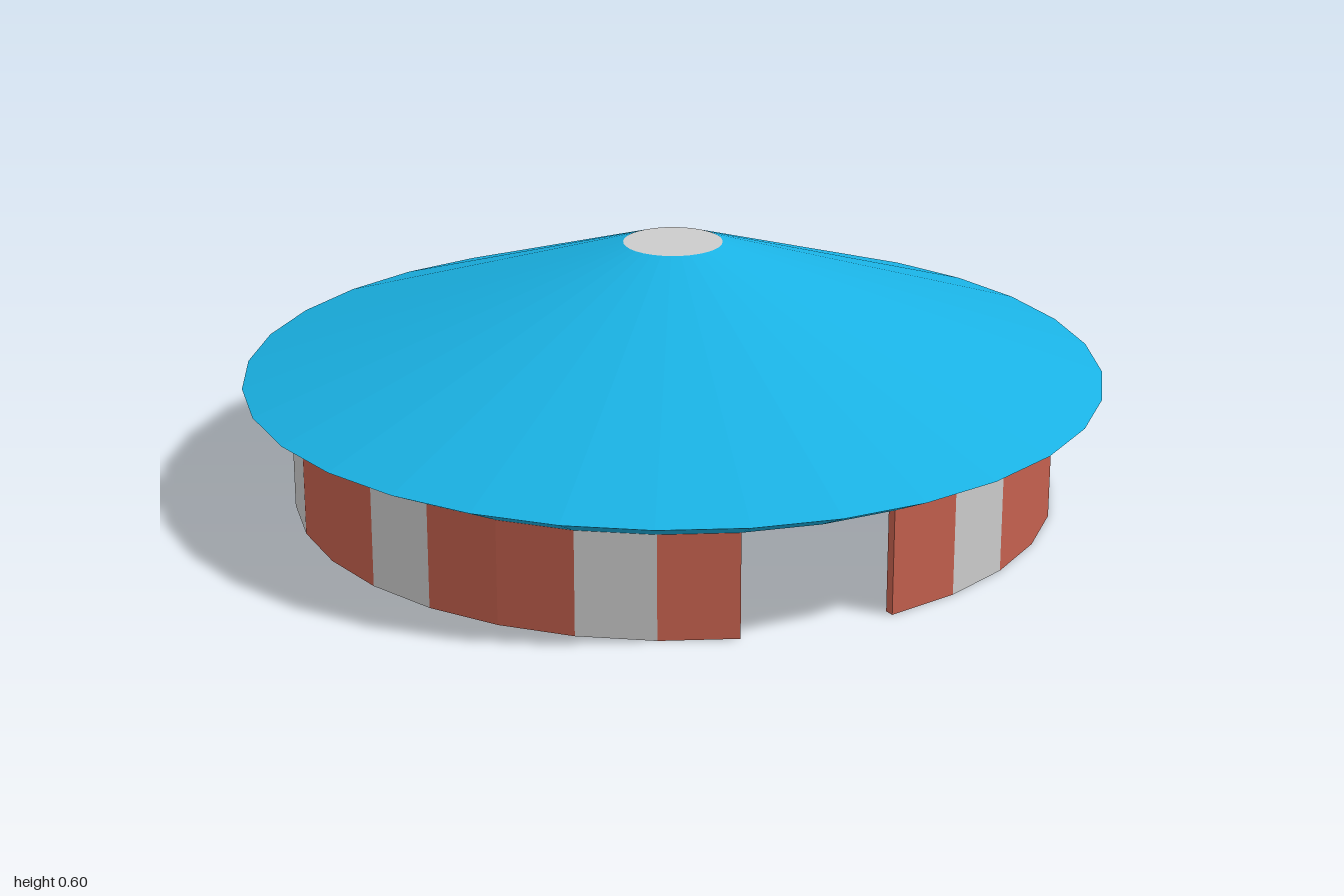
import * as THREE from 'three';

const SIDES = 32;
const STEP = (Math.PI * 2) / SIDES;
const WALL_OUTER = 0.89, WALL_INNER = 0.868, WALL_HEIGHT = 0.24;
const RIM_Y = 0.295, TOP_Y = 0.6, TOP_RADIUS = 0.115;

const material = (color, side = THREE.FrontSide) =>
  new THREE.MeshStandardMaterial({ color, side, flatShading: true });

// Faceted wall section covering ring sides [from, to), counted from the front
function wallSection(from, to) {
  const points = [];
  const add = (r, k) => points.push(new THREE.Vector2(r * Math.sin(k * STEP), -r * Math.cos(k * STEP)));
  for (let k = from; k <= to; k++) add(WALL_OUTER, k);
  for (let k = to; k >= from; k--) add(WALL_INNER, k);
  const geometry = new THREE.ExtrudeGeometry(new THREE.Shape(points), { depth: WALL_HEIGHT, bevelEnabled: false });
  return geometry.rotateX(-Math.PI / 2);
}

export function createModel() {
  const model = new THREE.Group();
  model.name = 'roundPavilion';

  const red = material(0xc4604e);
  const grey = material(0xcccccc);
  const blue = material(0x1ab2e4, THREE.DoubleSide);

  // Wall ring: every third side is a grey panel, the two front sides stay open
  const wall = new THREE.Group();
  wall.name = 'wall';
  for (let k = 1; k < SIDES - 1;) {
    const isGrey = k % 3 === 2;
    let end = k + 1;
    while (!isGrey && end < SIDES - 1 && end % 3 !== 2) end++;
    const panel = new THREE.Mesh(wallSection(k, end), isGrey ? grey : red);
    panel.name = isGrey ? 'greyPanel' : 'redPanel';
    wall.add(panel);
    k = end;
  }
  model.add(wall);

  // Hollow roof: sloping eave underside, then the shallow cone
  const profile = [[WALL_OUTER, WALL_HEIGHT], [1, RIM_Y], [TOP_RADIUS, TOP_Y]]
    .map(([r, y]) => new THREE.Vector2(r, y));
  const roof = new THREE.Mesh(new THREE.LatheGeometry(profile, SIDES), blue);
  roof.name = 'roof';
  model.add(roof);

  // Flat disc closing the top of the roof
  const cap = new THREE.Mesh(
    new THREE.CircleGeometry(TOP_RADIUS, SIDES).rotateX(-Math.PI / 2),
    material(0xcccccc, THREE.DoubleSide));
  cap.name = 'roofCap';
  cap.position.y = TOP_Y;
  model.add(cap);

  return model;
}
